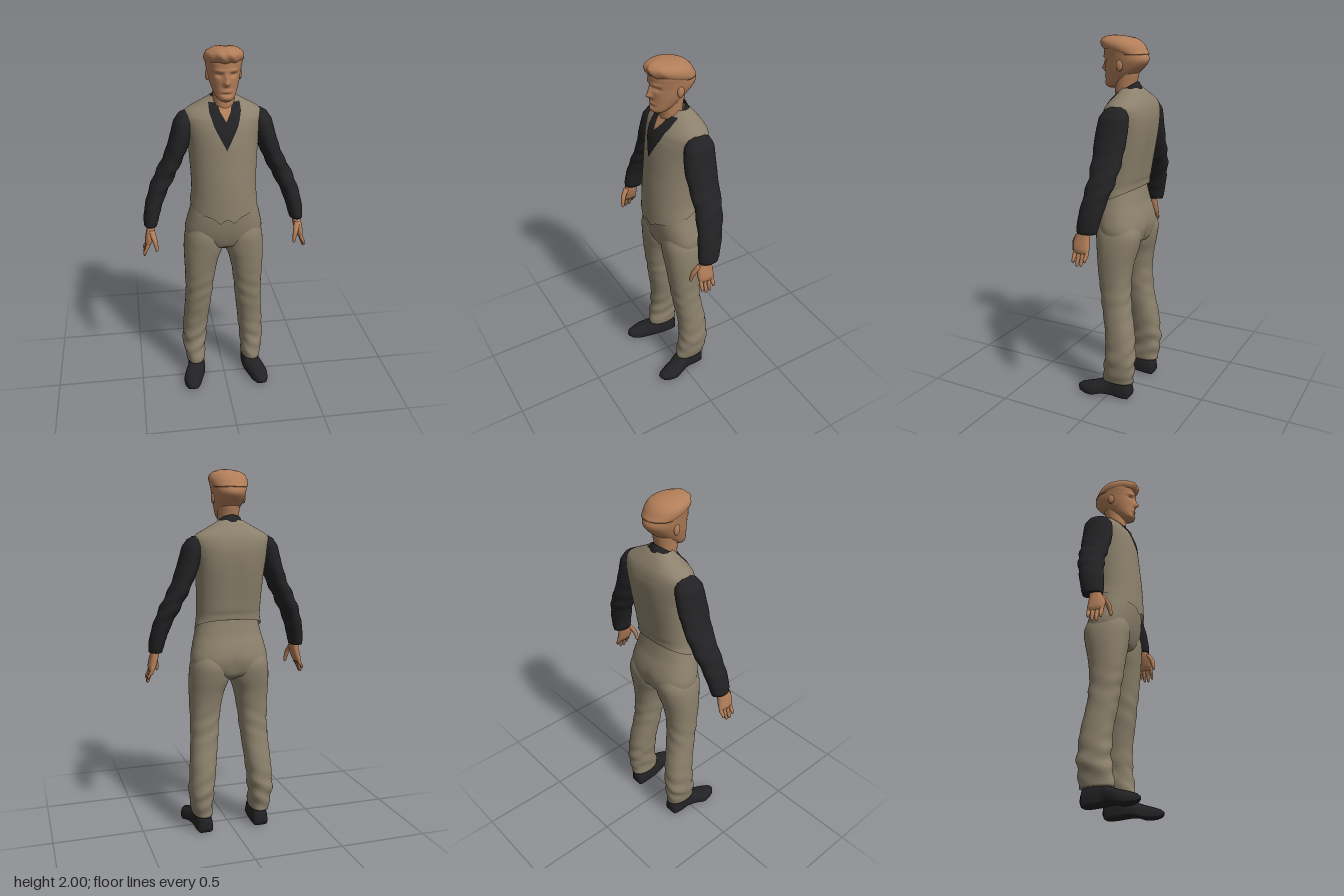
import * as THREE from 'three';

const material = (name, color) => {
  const m = new THREE.MeshStandardMaterial({ color, side: THREE.DoubleSide });
  m.name = name;
  return m;
};

// Section rows are [height, xMin, xMax, zFront, zBack]; they are smoothed with a Catmull-Rom curve.
function densify(rows, steps) {
  const out = [], n = rows.length, at = i => rows[Math.min(n - 1, Math.max(0, i))];
  for (let i = 0; i < n - 1; i++) {
    for (let k = 0; k < steps; k++) {
      const t = k / steps;
      out.push(rows[i].map((b, c) => {
        if (c === 0) return b + (rows[i + 1][0] - b) * t;
        const a = at(i - 1)[c], d = rows[i + 1][c], e = at(i + 2)[c];
        return 0.5 * (2 * b + (d - a) * t + (2 * a - 5 * b + 4 * d - e) * t * t + (3 * b - a - 3 * d + e) * t * t * t);
      }));
    }
  }
  out.push(rows[n - 1]);
  return out;
}

// Smooth skin over superellipse sections stacked upward
function loft(rows, { side = 1, segs = 32, steps = 5, nf = 2, nb = 2, mid = 0.5, caps = true, warp } = {}) {
  const sorted = [...rows].sort((a, b) => a[0] - b[0]);
  const rings = densify(sorted, steps), pos = [], idx = [], v = new THREE.Vector3();
  const curve = (c, n) => Math.sign(c) * Math.abs(c) ** (2 / n);
  for (const [y, x0, x1, zf, zb] of rings) {
    const zc = zb + (zf - zb) * mid;
    for (let j = 0; j < segs; j++) {
      const a = (j / segs) * Math.PI * 2, c = Math.cos(a), s = Math.sin(a), n = s > 0 ? nf : nb;
      v.set(side * (x0 + x1) / 2 + curve(c, n) * (x1 - x0) / 2, y, zc + curve(s, n) * (s > 0 ? zf - zc : zc - zb));
      if (warp) warp(v, s);
      pos.push(v.x, v.y, v.z);
    }
  }
  for (let i = 0; i < rings.length - 1; i++) {
    for (let j = 0; j < segs; j++) {
      const k = (j + 1) % segs, a = i * segs + j, b = i * segs + k;
      idx.push(a, a + segs, b, b, a + segs, b + segs);
    }
  }
  if (caps) {
    [0, rings.length - 1].forEach((r, top) => {
      const [y, x0, x1, zf, zb] = rings[r], centre = pos.length / 3;
      v.set(side * (x0 + x1) / 2, y, (zf + zb) / 2);
      if (warp) warp(v, 0);
      pos.push(v.x, v.y, v.z);
      for (let j = 0; j < segs; j++) {
        const a = r * segs + j, b = r * segs + (j + 1) % segs;
        idx.push(centre, ...(top ? [b, a] : [a, b]));
      }
    });
  }
  return buffer(pos, idx);
}

function buffer(pos, idx) {
  const g = new THREE.BufferGeometry();
  g.setAttribute('position', new THREE.Float32BufferAttribute(pos, 3));
  g.setIndex(idx);
  g.computeVertexNormals();
  return g;
}

const sym = rows => rows.map(([y, r, zf, zb]) => [y, -r, r, zf, zb]);
const bump = (d, s) => Math.exp(-((d / s) ** 2));

const VEST = sym([
  [1.12, 0.186, 0.138, -0.13], [1.2, 0.178, 0.136, -0.128], [1.3, 0.178, 0.13, -0.14],
  [1.4, 0.183, 0.12, -0.157], [1.5, 0.191, 0.11, -0.171], [1.58, 0.205, 0.094, -0.174],
  [1.63, 0.211, 0.074, -0.166], [1.66, 0.194, 0.052, -0.155], [1.69, 0.143, 0.028, -0.137],
  [1.715, 0.098, 0.01, -0.118], [1.735, 0.068, 0, -0.1]]);
const VEST_MID = 0.45, VEST_RINGS = densify(VEST, 5);

// Depth of the vest front at a given x and y
function chestZ(x, y) {
  const i = Math.max(0, VEST_RINGS.findIndex(r => r[0] >= y) - 1), a = VEST_RINGS[i], b = VEST_RINGS[i + 1];
  const t = (y - a[0]) / (b[0] - a[0]);
  const [, , rx, zf, zb] = a.map((p, c) => p + (b[c] - p) * t);
  const zc = zb + (zf - zb) * VEST_MID;
  return zc + (zf - zc) * Math.sqrt(Math.max(0, 1 - (x / rx) ** 2));
}

// Thin plate following the chest, from pairs of [y, half width] running downward
function chestPlate(outline, offset) {
  const pos = [], idx = [], cols = 10, lines = [];
  for (let i = 0; i < outline.length - 1; i++) {
    for (let k = 0; k <= 6; k++) lines.push(outline[i].map((p, c) => p + (outline[i + 1][c] - p) * k / 6));
  }
  lines.forEach(([y, w], i) => {
    for (let j = 0; j <= cols; j++) {
      const x = w * (2 * j / cols - 1), a = i * (cols + 1) + j, c = a + cols + 1;
      pos.push(x, y, chestZ(x, y) + offset);
      if (i < lines.length - 1 && j < cols) idx.push(a, c, a + 1, c, c + 1, a + 1);
    }
  });
  return buffer(pos, idx);
}

export function createModel() {
  const model = new THREE.Group();
  const cloth = material('taupe cloth', 0x8c816c);
  const black = material('black cloth and leather', 0x222224);
  const skin = material('skin', 0xb27e59);
  const add = (name, geometry, mat) => {
    const mesh = new THREE.Mesh(geometry, mat);
    mesh.name = name;
    model.add(mesh);
    return mesh;
  };

  // Waistcoat: hem rises toward the back and has two points in front
  add('vest', loft(VEST, {
    segs: 64, nb: 2.5, mid: VEST_MID, warp: (p, s) => {
      const w = Math.max(0, 1 - (p.y - 1.12) / 0.14);
      p.y += w * (0.035 - p.z * 0.42);
      if (s > 0) p.y -= w * 0.028 * (bump(p.x - 0.04, 0.022) + bump(p.x + 0.04, 0.022));
      if (s < 0) p.z += 0.006 * bump(p.y - 1.2, 0.02) + 0.006 * bump(p.x, 0.04) * bump(p.y - 1.42, 0.15);
    }, caps: false
  }), cloth);

  // Shirt front, open neck and collar
  add('shirtFront', chestPlate([[1.71, 0.082], [1.67, 0.083], [1.6, 0.062], [1.48, 0]], 0.005), black);
  add('openNeck', chestPlate([[1.7, 0.035], [1.67, 0.027], [1.625, 0]], 0.011), skin);
  add('collar', loft(sym([[0, 0.09, 0.075, -0.108], [0.03, 0.078, 0.056, -0.1], [0.06, 0.068, 0.042, -0.087]]), {
    segs: 48, caps: false, warp: (p, s) => {
      p.y += 1.705 - 0.72 * (p.z + 0.087) - (s > 0 ? 0.035 * bump(p.x, 0.025) : 0);
    }
  }), black);

  // Head and neck
  add('neck', loft(sym([[1.6, 0.06, 0.05, -0.07], [1.68, 0.056, 0.042, -0.072], [1.74, 0.056, 0.042, -0.075],
    [1.82, 0.06, 0.04, -0.09]])), skin);
  const eyes = (p, y, sx, sy) => (bump(p.x - 0.036, sx) + bump(p.x + 0.036, sx)) * bump(p.y - y, sy);
  add('head', loft(sym([
    [1.73, 0.022, 0.085, 0.04], [1.742, 0.042, 0.095, 0.01], [1.765, 0.056, 0.098, -0.03], [1.79, 0.066, 0.097, -0.065],
    [1.82, 0.076, 0.098, -0.1], [1.85, 0.083, 0.1, -0.13], [1.875, 0.088, 0.1, -0.145], [1.9, 0.092, 0.101, -0.14],
    [1.93, 0.096, 0.1, -0.123], [1.96, 0.09, 0.09, -0.1], [1.98, 0.07, 0.07, -0.07]]), {
    segs: 96, steps: 6, nf: 2.2, mid: 0.48, warp: (p, s) => {
      if (s <= 0) return;
      p.z += 0.026 * bump(p.x, 0.014) * bump(p.y - 1.828, 0.014) + 0.015 * bump(p.x, 0.011) * bump(p.y - 1.855, 0.022)
        + 0.007 * bump(p.x, 0.026) * bump(p.y - 1.788, 0.01) + 0.006 * bump(p.x, 0.025) * bump(p.y - 1.752, 0.012)
        - 0.012 * eyes(p, 1.869, 0.017, 0.011) + 0.006 * eyes(p, 1.891, 0.025, 0.009)
        - 0.005 * bump(p.x, 0.03) * bump(p.y - 1.772, 0.006);
    }
  }), skin);

  // Hair swept up from the forehead
  add('hair', loft(sym([
    [1.905, 0.09, 0.05, -0.142], [1.925, 0.1, 0.095, -0.131], [1.95, 0.102, 0.118, -0.116],
    [1.972, 0.092, 0.122, -0.094], [1.988, 0.068, 0.108, -0.06], [1.996, 0.04, 0.085, -0.01], [2, 0.012, 0.06, 0.03]]), {
    segs: 64, mid: 0.45, warp: (p, s) => {
      if (s > 0.1) p.z += 0.004 * Math.sin(p.x * 110 + p.y * 60) * s;
    }
  }), skin);

  for (const side of [1, -1]) {
    const label = side > 0 ? 'left' : 'right';

    // Ear
    const ear = add(label + 'Ear', new THREE.SphereGeometry(1, 16, 12), skin);
    ear.scale.set(0.01, 0.03, 0.019);
    ear.position.set(side * 0.085, 1.85, -0.02);

    // Sleeve with soft folds
    add(label + 'Sleeve', loft([
      [1.652, 0.18, 0.212, -0.03, -0.09], [1.638, 0.165, 0.236, 0, -0.115], [1.6, 0.155, 0.263, 0.028, -0.134],
      [1.5, 0.175, 0.291, 0.04, -0.136], [1.4, 0.216, 0.326, 0.035, -0.131], [1.3, 0.265, 0.378, 0.03, -0.121],
      [1.2, 0.317, 0.418, 0.04, -0.097], [1.11, 0.35, 0.44, 0.052, -0.076], [1.06, 0.364, 0.445, 0.056, -0.064],
      [1.035, 0.372, 0.444, 0.054, -0.056]], {
      side, warp: (p, s) => {
        const w = 0.004 * bump(p.y - 1.3, 0.14);
        p.x += w * Math.sin(p.y * 75 + p.z * 30);
        p.z += w * Math.sin(p.y * 60 + s * 2);
      }
    }), black);

    // Hand: palm, four fingers and thumb
    add(label + 'Palm', loft([
      [1.07, 0.385, 0.43, 0.035, -0.025], [1.03, 0.385, 0.431, 0.05, -0.018], [0.99, 0.392, 0.438, 0.07, -0.02],
      [0.95, 0.404, 0.445, 0.07, -0.022], [0.928, 0.415, 0.442, 0.062, -0.018]], { side, segs: 24, nf: 2.4, nb: 2.4 }), skin);
    [[0.056, 0.876], [0.033, 0.86], [0.01, 0.862], [-0.012, 0.885]].forEach(([z, tip], i) => {
      const finger = [[0.955, 0.425, 0.011], [0.915, 0.436, 0.011], [tip + 0.02, 0.447, 0.009], [tip + 0.004, 0.45, 0.006], [tip, 0.45, 0.001]];
      add(label + 'Finger' + (i + 1), loft(finger.map(([y, x, r], k) =>
        [y, x - r, x + r, z + r + k * 0.001, z - r + k * 0.001]), { side, segs: 12, steps: 3 }), skin);
    });
    const thumb = [[1.02, 0.405, 0.05, 0.016], [0.98, 0.395, 0.075, 0.015], [0.94, 0.386, 0.086, 0.011], [0.917, 0.384, 0.089, 0.008], [0.908, 0.384, 0.09, 0.001]];
    add(label + 'Thumb', loft(thumb.map(([y, x, z, r]) => [y, x - r, x + r, z + r, z - r]), { side, segs: 14, steps: 3 }), skin);

    // Trouser leg with folds that deepen toward the ankle
    add(label + 'TrouserLeg', loft([
      [1.04, 0.03, 0.19, 0.08, -0.13], [0.96, 0.004, 0.217, 0.094, -0.155], [0.88, 0.004, 0.226, 0.089, -0.145],
      [0.8, 0.032, 0.226, 0.08, -0.125], [0.7, 0.052, 0.223, 0.068, -0.112], [0.6, 0.064, 0.222, 0.054, -0.113],
      [0.5, 0.075, 0.226, 0.04, -0.125], [0.4, 0.087, 0.234, 0.023, -0.145], [0.3, 0.098, 0.24, 0.018, -0.155],
      [0.22, 0.107, 0.243, 0.02, -0.158], [0.15, 0.112, 0.234, 0.032, -0.15], [0.095, 0.115, 0.224, 0.036, -0.146]], {
      side, segs: 40, nf: 2.2, nb: 2.2, warp: (p, s) => {
        const w = 0.005 * bump(p.y - 0.22, 0.13) + 0.003 * bump(p.y - 0.6, 0.1);
        p.z += w * Math.sin(p.y * 70 + p.x * side * 35);
        p.x += w * 0.7 * Math.sin(p.y * 55 + s * 2.5);
      }
    }), cloth);

    // Shoe, built along its length and laid down
    const shoe = loft([
      [-0.137, 0.14, 0.185, -0.02, -0.07], [-0.125, 0.123, 0.205, 0, -0.1], [-0.075, 0.118, 0.214, 0, -0.13],
      [-0.02, 0.117, 0.218, -0.006, -0.122], [0.03, 0.122, 0.238, -0.012, -0.092], [0.08, 0.143, 0.253, 0, -0.074],
      [0.125, 0.158, 0.249, 0, -0.061], [0.163, 0.177, 0.236, -0.008, -0.048], [0.178, 0.192, 0.22, -0.018, -0.036]],
    { side, segs: 36, nf: 5, nb: 2.2, mid: 0.7 });
    shoe.rotateX(Math.PI / 2);
    add(label + 'Shoe', shoe, black);
  }

  // Trouser seat
  add('trouserSeat', loft(sym([
    [0.872, 0.05, 0.03, -0.09], [0.9, 0.15, 0.07, -0.135], [0.94, 0.205, 0.088, -0.154], [0.99, 0.216, 0.102, -0.162],
    [1.05, 0.205, 0.112, -0.152], [1.12, 0.187, 0.116, -0.13], [1.22, 0.165, 0.11, -0.112]]), {
    segs: 48, nf: 2.3, nb: 2.3, warp: (p, s) => {
      if (s < 0) p.z += 0.012 * bump(p.x, 0.025) * bump(p.y - 0.95, 0.06);
    }
  }), cloth);

  return model;
}
